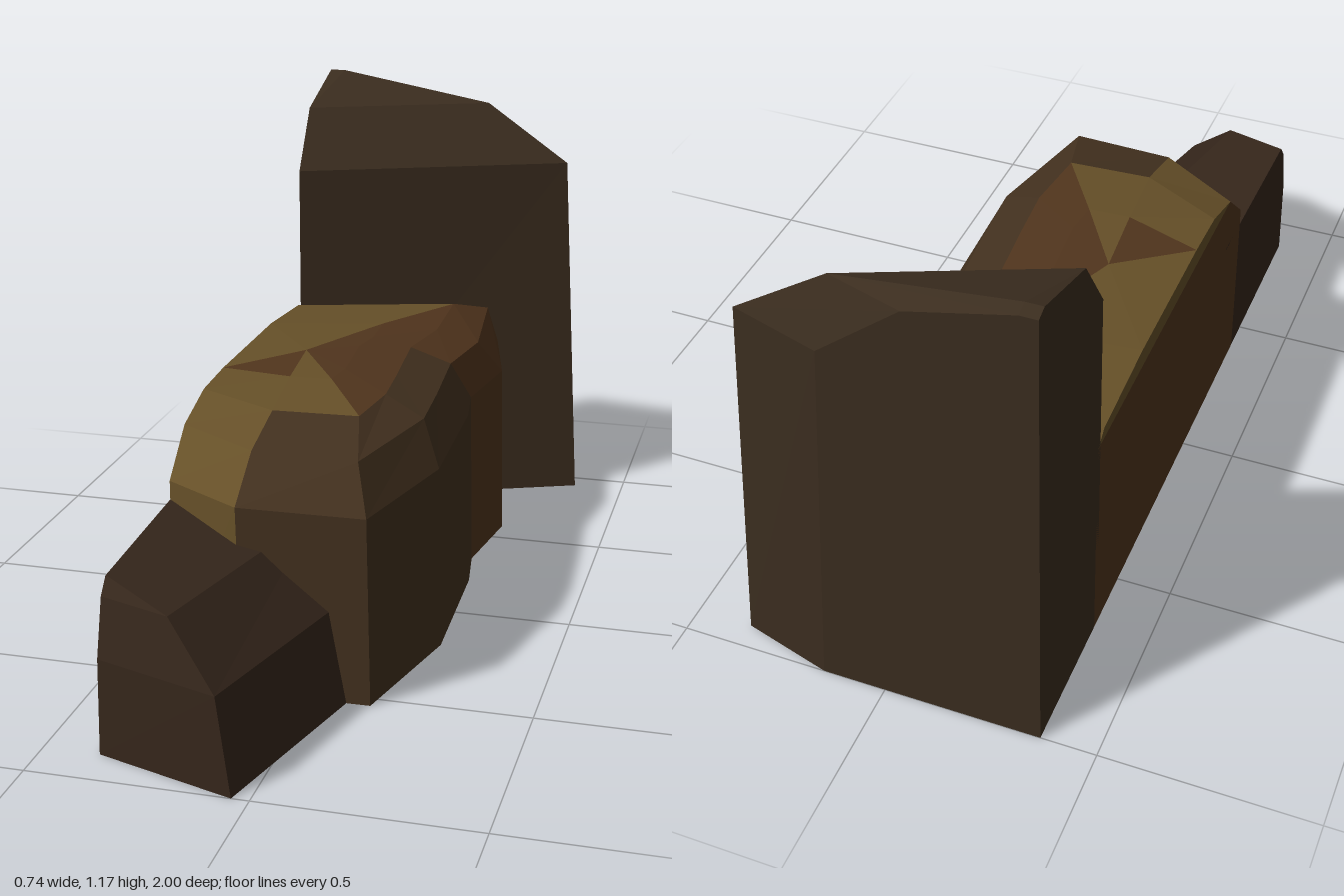
import * as THREE from 'three';

const CUT = -0.37; // flat plane that closes every rock on its right side

// A ring of corners at one height: each corner is [x, z] or [x, z, own height]
const ring = (y, corners) => corners.map(([x, z, h = y]) => new THREE.Vector3(x, h, z));

// Faceted solid through rings listed from the ground up, corners counter-clockwise from above.
// tint(row, column) picks the colour of a face; peak optionally crowns the last ring.
function rock(name, rings, colors, tint = () => 0, peak = null) {
  const buckets = colors.map(() => []);
  const add = (k, ...tri) => tri.forEach((p) => buckets[k].push(p));
  const n = rings[0].length;

  for (let r = 0; r < rings.length - 1; r++) {
    for (let i = 0; i < n; i++) {
      const j = (i + 1) % n;
      const [a, b, c, d] = [rings[r][i], rings[r][j], rings[r + 1][j], rings[r + 1][i]];
      add(tint(r, i), a, b, c);
      add(tint(r, i), a, c, d);
    }
  }
  // Underside and crown
  const base = rings[0];
  const top = rings[rings.length - 1];
  for (let i = 1; i < n - 1; i++) {
    add(0, base[0], base[i + 1], base[i]);
    if (!peak) add(0, top[0], top[i], top[i + 1]);
  }
  if (peak) {
    for (let i = 0; i < n; i++) add(tint(rings.length - 1, i), top[i], top[(i + 1) % n], peak);
  }

  const geometry = new THREE.BufferGeometry().setFromPoints(buckets.flat());
  let start = 0;
  buckets.forEach((bucket, k) => {
    geometry.addGroup(start, bucket.length, k);
    start += bucket.length;
  });
  geometry.computeVertexNormals();
  const materials = colors.map((color) => new THREE.MeshStandardMaterial({ color, flatShading: true }));
  const mesh = new THREE.Mesh(geometry, materials);
  mesh.name = name;
  return mesh;
}

// Tall slab at the back with a bevelled, sloping top
function tallSlab() {
  return rock('tallBackRock', [
    ring(0, [[CUT, -0.64], [0.366, -0.94], [0.15, -1], [CUT, -1]]),
    ring(0.95, [[CUT, -0.645], [0.315, -0.935], [0.1, -1], [CUT, -1]]),
    ring(1.105, [[CUT, -0.75], [0.09, -0.945], [-0.09, -1], [CUT, -1]]),
    ring(1.175, [[CUT, -0.97], [-0.33, -0.97], [-0.33, -1, 1.165], [CUT, -1, 1.165]]),
  ], [0x3b2d1f]);
}

// Long rounded boulder in the middle
function boulder() {
  const foot = [
    [CUT, 0.42], [-0.165, 0.54], [0.135, 0.535], [0.22, 0.19], [0.207, -0.2],
    [0.185, -0.34], [0.22, -0.58], [0.155, -0.85], [CUT, -0.66],
  ];
  const waist = foot.map(([x, z]) => [x === CUT ? x : x - 0.009, z]);
  const shoulder = [
    [CUT, 0.31], [-0.165, 0.44], [0.085, 0.45], [0.16, 0.13], [0.15, -0.05],
    [0.13, -0.3], [0.16, -0.5], [0.12, -0.83], [CUT, -0.655],
  ];
  const brow = [
    [CUT, 0.17], [-0.165, 0.28], [0.04, 0.27], [0.06, 0.1], [0.05, -0.05],
    [0.03, -0.28], [0.06, -0.45], [0.05, -0.7], [CUT, -0.62, 0.58],
  ];
  const peak = new THREE.Vector3(-0.2, 0.615, -0.12);
  const crown = brow.map(([x, z]) => {
    const zz = THREE.MathUtils.lerp(z, peak.z, 0.5);
    return x === CUT ? [x, zz, 0.6] : [THREE.MathUtils.lerp(x, peak.x, 0.5), zz];
  });
  // 0 dark brown, 1 warm brown, 2 ochre
  const tint = (row, col) => {
    if (col === 0) return row < 4 ? 2 : 1;
    if (col >= 7) return row >= 2 ? 2 : 1;
    if (row >= 3) return col === 1 ? 2 : 1;
    return col >= 5 ? 1 : 0;
  };
  return rock('middleBoulder', [
    ring(0, foot), ring(0.45, waist), ring(0.55, shoulder), ring(0.592, brow), ring(0.61, crown),
  ], [0x43311f, 0x51351d, 0x665028], tint, peak);
}

// Low rock at the front, its back end buried in the boulder
function lowRock() {
  return rock('lowFrontRock', [
    ring(0, [[CUT, 0.895], [-0.04, 1], [0.14, 0.3], [CUT, 0.3]]),
    ring(0.22, [[CUT, 0.885], [-0.075, 0.985], [0.1, 0.3], [CUT, 0.3]]),
    ring(0.35, [[CUT, 0.85], [-0.2, 0.91], [-0.06, 0.3], [CUT, 0.3]]),
    ring(0.385, [[CUT, 0.82], [CUT + 0.002, 0.82], [CUT + 0.002, 0.3, 0.41], [CUT, 0.3, 0.41]]),
  ], [0x35261b]);
}

export function createModel() {
  const group = new THREE.Group();
  group.name = 'rockCluster';
  group.add(tallSlab(), boulder(), lowRock());
  return group;
}
